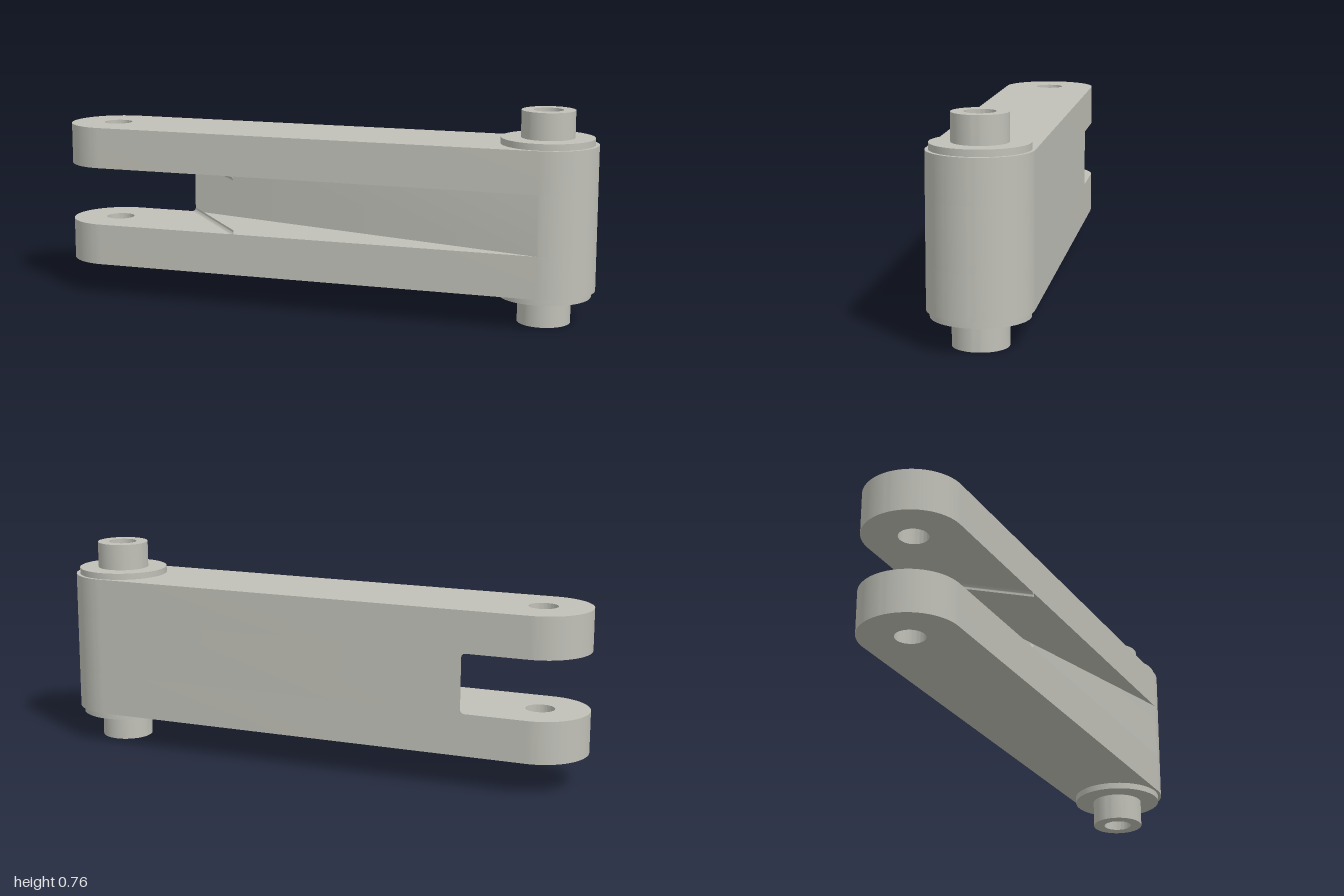
import * as THREE from 'three';
import { toCreasedNormals } from 'three/addons/utils/BufferGeometryUtils.js';

const PIVOT = 0.825;              // distance of each pivot from the centre
const R = 0.175;                  // half width of the link
const HOLE = 0.052;
const BOTTOM = 0.12, SLOT_LOW = 0.272, SLOT_HIGH = 0.486, TOP = 0.637;
const SLOT_FRONT = -0.288, SLOT_BACK = -0.588; // slanted slot end

export function createModel() {
  const metal = new THREE.MeshStandardMaterial({ color: 0xc0c0b8 });
  metal.name = 'grey metal';
  const model = new THREE.Group();
  model.name = 'clevisLink';
  model.rotation.y = -0.0164;

  const add = (name, geometry) => {
    const mesh = new THREE.Mesh(toCreasedNormals(geometry, 0.5), metal);
    mesh.name = name;
    model.add(mesh);
  };

  // Plate drawn in plan (shape y is -z) and raised from y0 to y1
  const plate = (name, shape, y0, y1) => {
    const g = new THREE.ExtrudeGeometry(shape, { depth: y1 - y0, bevelEnabled: false, curveSegments: 32 });
    g.rotateX(-Math.PI / 2).translate(0, y0, 0);
    add(name, g);
  };
  const circle = (x, r) => new THREE.Path().absarc(x, 0, r, 0, Math.PI * 2, true);

  // Upper and lower arms, rounded at both ends
  const arm = new THREE.Shape();
  arm.absarc(PIVOT, 0, R, -Math.PI / 2, Math.PI / 2, false);
  arm.absarc(-PIVOT, 0, R, Math.PI / 2, Math.PI * 1.5, false);
  arm.closePath();
  arm.holes.push(circle(-PIVOT, HOLE), circle(PIVOT, 0.09));
  plate('lowerArm', arm, BOTTOM, SLOT_LOW);
  plate('upperArm', arm, SLOT_HIGH, TOP);

  // Solid middle, cut off on a slant at the slot
  const core = new THREE.Shape();
  core.moveTo(SLOT_FRONT, -R);
  core.absarc(PIVOT, 0, R, -Math.PI / 2, Math.PI / 2, false);
  core.lineTo(SLOT_BACK, R);
  core.closePath();
  core.holes.push(circle(PIVOT, 0.09));
  plate('middleBody', core, SLOT_LOW, SLOT_HIGH);

  // Small fillets along the slot end, sheared to follow its slant
  const f = 0.015;
  for (const [name, y, s] of [['lowerFillet', SLOT_LOW, 1], ['upperFillet', SLOT_HIGH, -1]]) {
    const shape = new THREE.Shape();
    shape.moveTo(0, 0);
    shape.lineTo(-f, 0);
    shape.absarc(-f, s * f, f, -s * Math.PI / 2, 0, s < 0);
    shape.closePath();
    const g = new THREE.ExtrudeGeometry(shape, { depth: 2 * R, bevelEnabled: false, curveSegments: 6 });
    g.translate((SLOT_FRONT + SLOT_BACK) / 2, y, -R);
    const p = g.attributes.position;
    for (let i = 0; i < p.count; i++) {
      p.setX(i, p.getX(i) + p.getZ(i) * (SLOT_FRONT - SLOT_BACK) / (2 * R));
    }
    add(name, g);
  }

  // Hollow pin with a collar above and below the link
  const pin = 0.094, collar = 0.164;
  const profile = [
    [HOLE, 0], [pin, 0], [pin, 0.097], [collar, 0.097], [collar, BOTTOM], [pin, BOTTOM],
    [pin, TOP], [collar, TOP], [collar, 0.66], [pin, 0.66], [pin, 0.756], [HOLE, 0.756], [HOLE, 0],
  ].map(([x, y]) => new THREE.Vector2(x, y));
  add('hollowPin', new THREE.LatheGeometry(profile, 64).translate(PIVOT - 0.003, 0, 0));

  return model;
}
